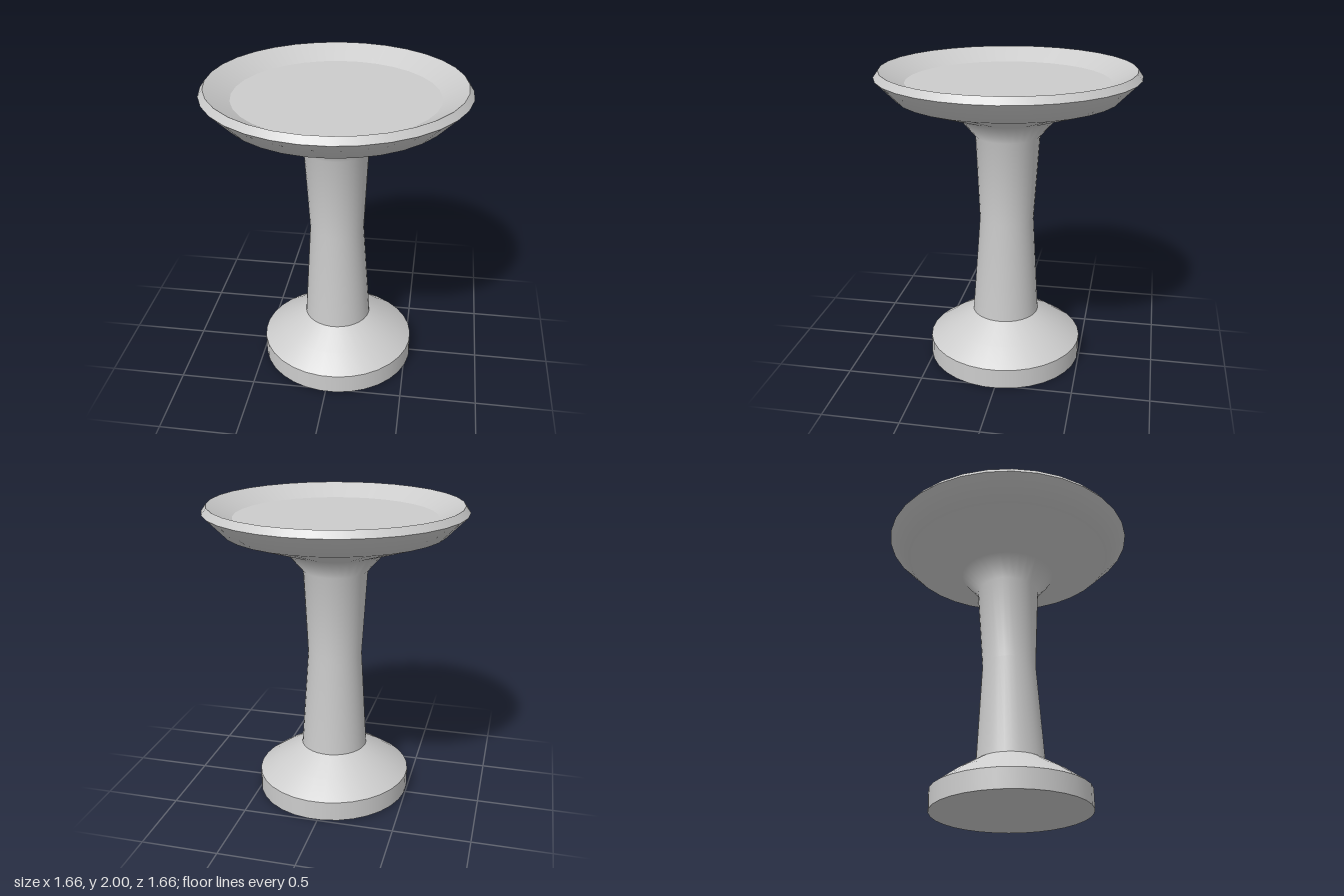
import * as THREE from 'three';

const SIDES = 32;

export function createModel() {
  const group = new THREE.Group();
  group.name = 'pedestalDish';
  const stone = new THREE.MeshStandardMaterial({ color: 0xcccccc });
  stone.name = 'pale grey stone';

  // Slight lean of the axis, and a slightly tilted foot
  const settle = (geometry) => {
    const p = geometry.attributes.position;
    for (let i = 0; i < p.count; i++) {
      const x = p.getX(i), y = p.getY(i), z = p.getZ(i);
      const lean = Math.max(0, 1 - y / 1.7);
      const foot = Math.max(0, 1 - y / 0.33);
      p.setXYZ(i, x + 0.017 * lean, y + foot * 0.009 * (z - x), z + 0.003 + 0.019 * lean);
    }
    return geometry;
  };

  // Each part is one smooth band; sharp edges fall between parts
  const addTurned = (name, profile) => {
    const points = profile.map(([r, y]) => new THREE.Vector2(r, y));
    const geometry = settle(new THREE.LatheGeometry(points, SIDES, Math.PI / SIDES, Math.PI * 2));
    const mesh = new THREE.Mesh(geometry, stone);
    mesh.name = name;
    group.add(mesh);
  };

  // Foot
  addTurned('footUnderside', [[0, 0.009], [0.515, 0.009]]);
  addTurned('footRim', [[0.515, 0.009], [0.515, 0.14]]);
  addTurned('footSlope', [[0.515, 0.14], [0.384, 0.235], [0.222, 0.333]]);

  // Waisted stem flowing into the underside of the dish
  addTurned('stemAndDishUnderside', [
    [0.222, 0.333], [0.179, 1.0], [0.209, 1.565], [0.322, 1.695], [0.708, 1.825], [0.836, 1.955],
  ]);

  // Dish
  addTurned('dishRim', [[0.836, 1.955], [0.805, 1.998]]);
  addTurned('dishInnerWall', [[0.805, 1.998], [0.648, 1.915]]);
  addTurned('dishFloor', [[0.648, 1.915], [0, 1.915]]);

  return group;
}
